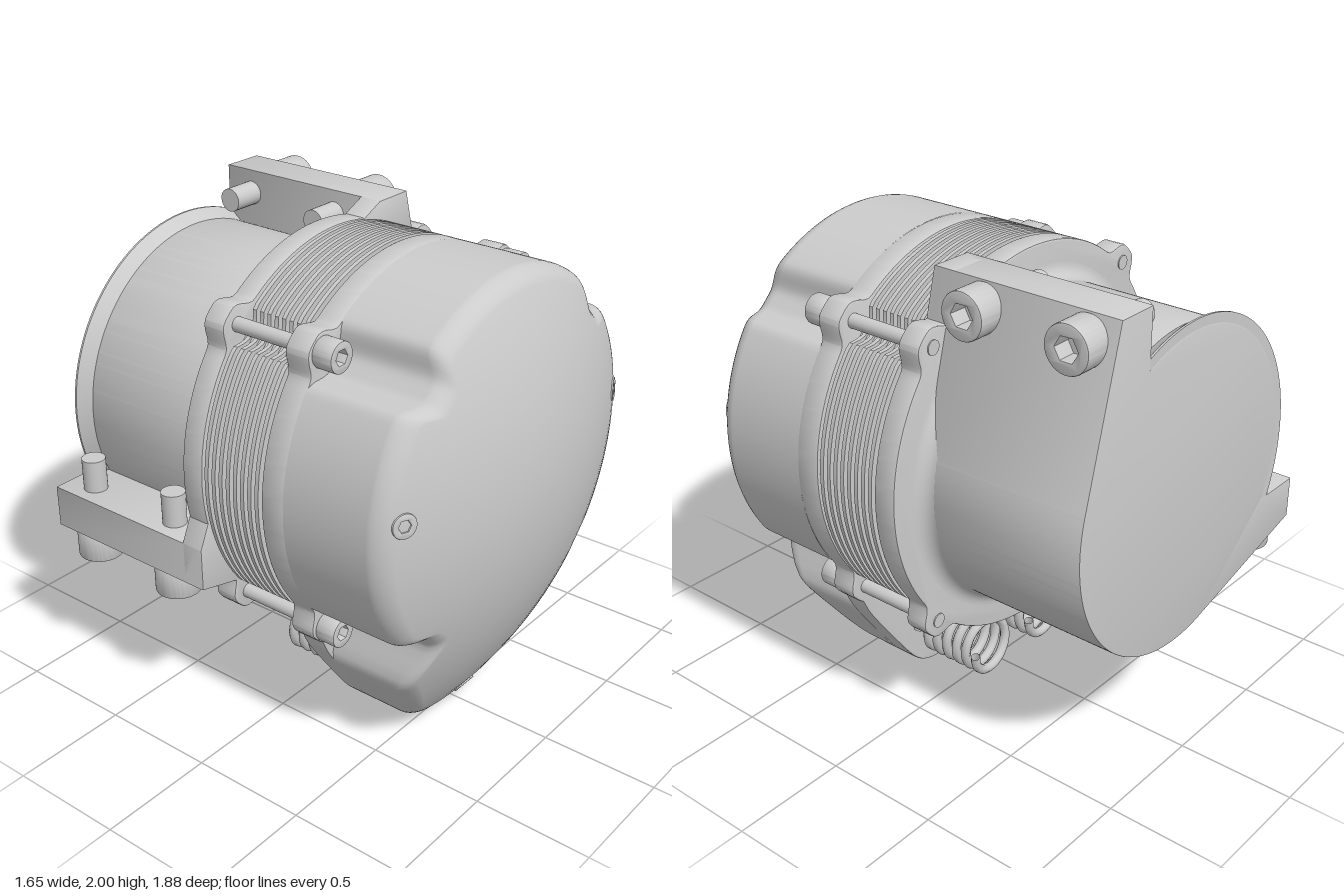
import * as THREE from 'three';
import { toCreasedNormals } from 'three/addons/utils/BufferGeometryUtils.js';

const mat = new THREE.MeshStandardMaterial({ color: 0xcccccc });
const matOpen = new THREE.MeshStandardMaterial({ color: 0xcccccc, side: THREE.DoubleSide });
const CIRCLE = 0.815, LUG = 0.585, DOME = 1.8;

function add(parent, name, geometry, material = mat) {
  const mesh = new THREE.Mesh(geometry, material);
  mesh.name = name;
  parent.add(mesh);
  return mesh;
}

// Extrude a shape from z0 to z1 with a small bevel
function slab(shape, z0, z1, bevel = 0.008) {
  const g = new THREE.ExtrudeGeometry(shape, {
    depth: z1 - z0 - 2 * bevel, curveSegments: 64, steps: 1,
    bevelEnabled: bevel > 0, bevelSize: bevel, bevelThickness: bevel, bevelOffset: -bevel, bevelSegments: 2,
  });
  g.translate(0, 0, z0 + bevel);
  return toCreasedNormals(g, 0.5);
}

// Outline rules in polar form: r(angle)
const lugWeight = (a, width) => {
  const q = Math.PI / 2;
  const d = ((a % q) + q) % q - q / 2;
  return Math.exp(-Math.pow(d / width, 4));
};
const mix = (a, b, t) => a + (b - a) * t;

function taperedRadius(a) {
  const x = Math.abs(Math.cos(a)), y = -Math.sin(a);
  if (y <= 0) return CIRCLE;
  const p = 26;
  const sum = [y / 1.16, (0.814 * x + 0.581 * y) / 0.889, x / 0.62]
    .reduce((s, v) => s + Math.pow(Math.max(v, 0), p), 0);
  return Math.max(CIRCLE, Math.pow(sum, -1 / p));
}
const withLugs = (base) => (a) => Math.max(base(a), mix(CIRCLE, 0.895, lugWeight(a, 0.1)));
const withNotches = (base, depth, width) => (a) => mix(base(a), depth, lugWeight(a, width));

function polarShape(radius, n = 288) {
  const pts = [];
  for (let i = 0; i < n; i++) {
    const a = (i / n) * Math.PI * 2, r = radius(a);
    pts.push(new THREE.Vector2(r * Math.cos(a), r * Math.sin(a)));
  }
  return new THREE.Shape(pts);
}

// Domed cover: loops climbing the wall, round the edge and in to the centre
const domeZ = (r) => 0.94 - DOME + Math.sqrt(DOME * DOME - r * r);

function coverGeometry() {
  const n = 288, f = 0.06, outline = withNotches(taperedRadius, 0.735, 0.125);
  const rings = [() => null];
  for (let k = 0; k <= 6; k++) rings.push((R) => {
    const t = (k / 6) * Math.PI / 2, r = R - f * (1 - Math.cos(t));
    return [r, domeZ(r) - f * (1 - Math.sin(t))];
  });
  for (let k = 1; k <= 14; k++) rings.push((R) => {
    const r = (R - f) * (1 - k / 14);
    return [r, domeZ(r)];
  });
  const pos = [], idx = [];
  rings.forEach((ring, k) => {
    for (let j = 0; j < n; j++) {
      const a = (j / n) * Math.PI * 2, R = outline(a);
      const [r, z] = ring(R) || [R, 0.305];
      pos.push(r * Math.cos(a), r * Math.sin(a), z);
      if (k === 0) continue;
      const j2 = (j + 1) % n, lo = (k - 1) * n, hi = k * n;
      idx.push(lo + j, lo + j2, hi + j, lo + j2, hi + j2, hi + j);
    }
  });
  const g = new THREE.BufferGeometry();
  g.setAttribute('position', new THREE.Float32BufferAttribute(pos, 3));
  g.setIndex(idx);
  g.computeVertexNormals();
  return g;
}

// Cap screw head with hex socket, pointing along +z
function screwHead(name, r, h) {
  const group = new THREE.Group();
  group.name = name;
  const shape = new THREE.Shape().absarc(0, 0, r, 0, Math.PI * 2, false);
  const hex = [0, 1, 2, 3, 4, 5].map((i) =>
    new THREE.Vector2(Math.cos(i * Math.PI / 3), Math.sin(i * Math.PI / 3)).multiplyScalar(r * 0.52));
  shape.holes.push(new THREE.Path(hex));
  add(group, 'head', slab(shape, 0, h, r * 0.07));
  add(group, 'socketFloor', new THREE.CircleGeometry(r * 0.6, 24)).position.z = h * 0.4;
  return group;
}

// Cylinder along z
function rod(r, z0, z1) {
  const g = new THREE.CylinderGeometry(r, r, z1 - z0, 28);
  return g.rotateX(Math.PI / 2).translate(0, 0, (z0 + z1) / 2);
}

// Surface of revolution about z from [radius, z] pairs
function lathe(points, a0 = 0, sweep = Math.PI * 2) {
  const g = new THREE.LatheGeometry(points.map(([r, z]) => new THREE.Vector2(r, z)), 96, a0 + Math.PI / 2, sweep);
  return g.rotateX(Math.PI / 2);
}

export function createModel() {
  const model = new THREE.Group();
  model.name = 'housing';
  const body = new THREE.Group();
  body.name = 'assembly';
  body.position.set(0.003, 1.16, 0);
  model.add(body);

  // Front cover and its plates
  add(body, 'frontCover', coverGeometry());
  add(body, 'frontPlate', slab(polarShape(withLugs(taperedRadius)), 0.2, 0.31));
  add(body, 'backPlate', slab(polarShape(withLugs(() => CIRCLE)), -0.2, -0.1));

  // Cooling fins round a core
  const fin = polarShape(withNotches(() => CIRCLE, 0.765, 0.08), 192);
  add(body, 'finCore', rod(0.76, -0.11, 0.21));
  for (let i = 0; i < 8; i++) {
    const z = -0.085 + i * 0.036;
    add(body, 'coolingFin', slab(fin, z, z + 0.018, 0));
  }

  // Corner tie rods with cap screws
  for (const x of [-LUG, LUG]) for (const y of [-LUG, LUG]) {
    const tie = new THREE.Group();
    tie.name = 'tieRod';
    tie.position.set(x, y, 0);
    add(tie, 'rod', rod(0.03, -0.205, 0.31));
    const head = screwHead('tieScrew', 0.062, 0.09);
    head.position.z = 0.31;
    tie.add(head);
    body.add(tie);
  }

  // Flush screws in the dome
  for (const [x, y] of [[-0.722, 0.1], [0.722, 0.1], [0, -1.075]]) {
    const s = screwHead('coverScrew', 0.05, 0.03);
    const normal = new THREE.Vector3(x, y, Math.sqrt(DOME * DOME - x * x - y * y)).normalize();
    s.quaternion.setFromUnitVectors(new THREE.Vector3(0, 0, 1), normal);
    s.position.set(x, y, domeZ(Math.hypot(x, y))).addScaledVector(normal, -0.024);
    body.add(s);
  }

  // Rear drum with two clamp ears mirrored across the diagonal
  const R = 0.66, tangent = 0.26, notch = Math.acos(0.28 / R);
  const drum = new THREE.Shape();
  drum.moveTo(0.28, R * Math.sin(notch));
  drum.lineTo(0.28, 0.84);
  drum.lineTo(0.46, 0.84);
  drum.lineTo(R * Math.cos(tangent), R * Math.sin(tangent));
  drum.absarc(0, 0, R, tangent, -Math.PI / 2 - tangent, true);
  drum.lineTo(-0.84, -0.46);
  drum.lineTo(-0.84, -0.28);
  drum.lineTo(-R * Math.sin(notch), -0.28);
  drum.absarc(0, 0, R, 1.5 * Math.PI - notch, notch, true);
  add(body, 'rearDrum', slab(drum, -0.935, -0.11, 0.004));

  // Fillet against the back plate, and the lip on the open arc at the rear
  const fillet = [];
  for (let i = 0; i <= 8; i++) {
    const a = (i / 8) * Math.PI / 2;
    fillet.push([0.72 - 0.06 * Math.cos(a), -0.26 + 0.06 * Math.sin(a)]);
  }
  add(body, 'drumFillet', lathe(fillet), matOpen);
  const lip = [[0.6, -0.934], [0.7, -0.934], [0.7, -0.925], [0.68, -0.9], [0.66, -0.87]];
  add(body, 'rearLip', toCreasedNormals(lathe(lip, notch, 1.5 * Math.PI - 2 * notch), 0.5), matOpen);

  // Ear roots carried forward through the back plate
  const root = [[0.17, 0.79], [0.28, 0.84], [0.46, 0.84], [0.51, 0.64], [0.2, 0.6]];
  for (const s of [1, -1]) {
    const pts = root.map(([x, y]) => (s > 0 ? new THREE.Vector2(x, y) : new THREE.Vector2(-y, -x)));
    add(body, 'earRoot', slab(new THREE.Shape(pts), -0.2, -0.1, 0.004));

    // Clamp screws with their protruding tips
    const clamp = new THREE.Group();
    clamp.name = 'clampScrews';
    clamp.rotation.z = s > 0 ? 0 : -Math.PI / 2;
    for (const z of [-0.34, -0.8]) {
      const head = screwHead('clampScrew', 0.095, 0.13);
      head.rotation.y = Math.PI / 2;
      head.position.set(0.46, s * 0.74, z);
      const tip = add(clamp, 'clampScrewTip', rod(0.05, 0.14, 0.47));
      tip.rotation.y = Math.PI / 2;
      tip.position.set(0, s * 0.74, z);
      clamp.add(head);
    }
    body.add(clamp);
  }

  // Coil springs behind the lower end of the front plate
  const coil = [], turns = 6;
  for (let i = 0; i <= turns * 16; i++) {
    const a = (i / 16) * Math.PI * 2;
    coil.push(new THREE.Vector3(0.113 * Math.cos(a), 0.113 * Math.sin(a), 0.185 - 0.325 * i / (turns * 16)));
  }
  const coilGeometry = new THREE.TubeGeometry(new THREE.CatmullRomCurve3(coil), 240, 0.021, 8);
  for (const x of [-0.18, 0.18]) {
    add(body, 'coilSpring', coilGeometry, matOpen).position.set(x, -0.945, 0);
  }
  return model;
}
